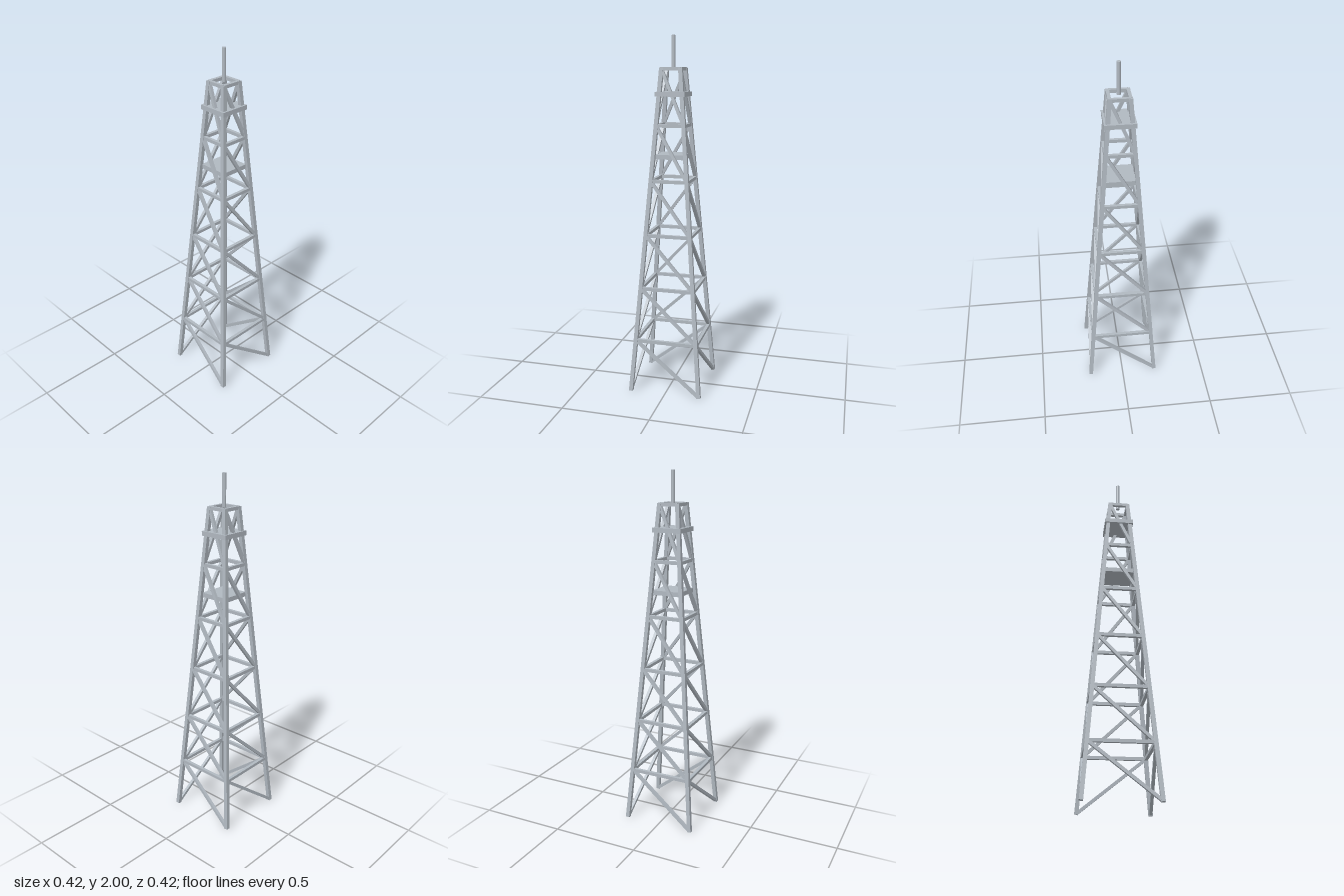
import * as THREE from 'three';

const steel = new THREE.MeshStandardMaterial({ color: 0xb0b8c0, flatShading: true });
steel.name = 'galvanised steel';

const BAYS = 6, TOP = 1.821, FOOT = 0.2, HEAD = 0.053, BASE = 0.002;
const CORNERS = [[-1, -1], [1, -1], [1, 1], [-1, 1]];

// Centre of a leg at a given height
function legPoint(corner, y) {
  const [sx, sz] = CORNERS[corner % 4];
  const w = THREE.MathUtils.lerp(FOOT, HEAD, y / TOP);
  return new THREE.Vector3(sx * w, y, sz * w);
}

// Square bar between two points
function bar(name, a, b, thick) {
  const dir = b.clone().sub(a);
  const mesh = new THREE.Mesh(new THREE.BoxGeometry(thick, dir.length(), thick), steel);
  mesh.name = name;
  mesh.position.copy(a).add(b).multiplyScalar(0.5);
  mesh.quaternion.setFromUnitVectors(new THREE.Vector3(0, 1, 0), dir.normalize());
  return mesh;
}

export function createModel() {
  const tower = new THREE.Group();
  tower.name = 'latticeTower';

  // Four tapering legs
  for (let c = 0; c < 4; c++) {
    tower.add(bar('leg', legPoint(c, BASE), legPoint(c, TOP + 0.006), 0.022));
  }

  // Each bay: one diagonal per face, climbing the same way round, and a ring on top
  for (let i = 0; i < BAYS; i++) {
    const y0 = Math.max((TOP * i) / BAYS, 0.006);
    const y1 = (TOP * (i + 1)) / BAYS;
    for (let c = 0; c < 4; c++) {
      tower.add(bar('diagonalBrace', legPoint(c, y0), legPoint(c + 1, y1), 0.017));
      tower.add(bar('ringBeam', legPoint(c, y1), legPoint(c + 1, y1), 0.018));
    }
  }

  // Upper and lower platforms
  for (const [name, y] of [['upperPlatform', 1.687], ['lowerPlatform', 1.347]]) {
    const plate = new THREE.Mesh(new THREE.BoxGeometry(0.168, 0.025, 0.168), steel);
    plate.name = name;
    plate.position.y = y;
    tower.add(plate);
  }

  // Antenna mast
  const mast = new THREE.Mesh(new THREE.CylinderGeometry(0.011, 0.011, 0.175, 12), steel);
  mast.name = 'mast';
  mast.position.y = 2 - 0.0875;
  tower.add(mast);

  return tower;
}
